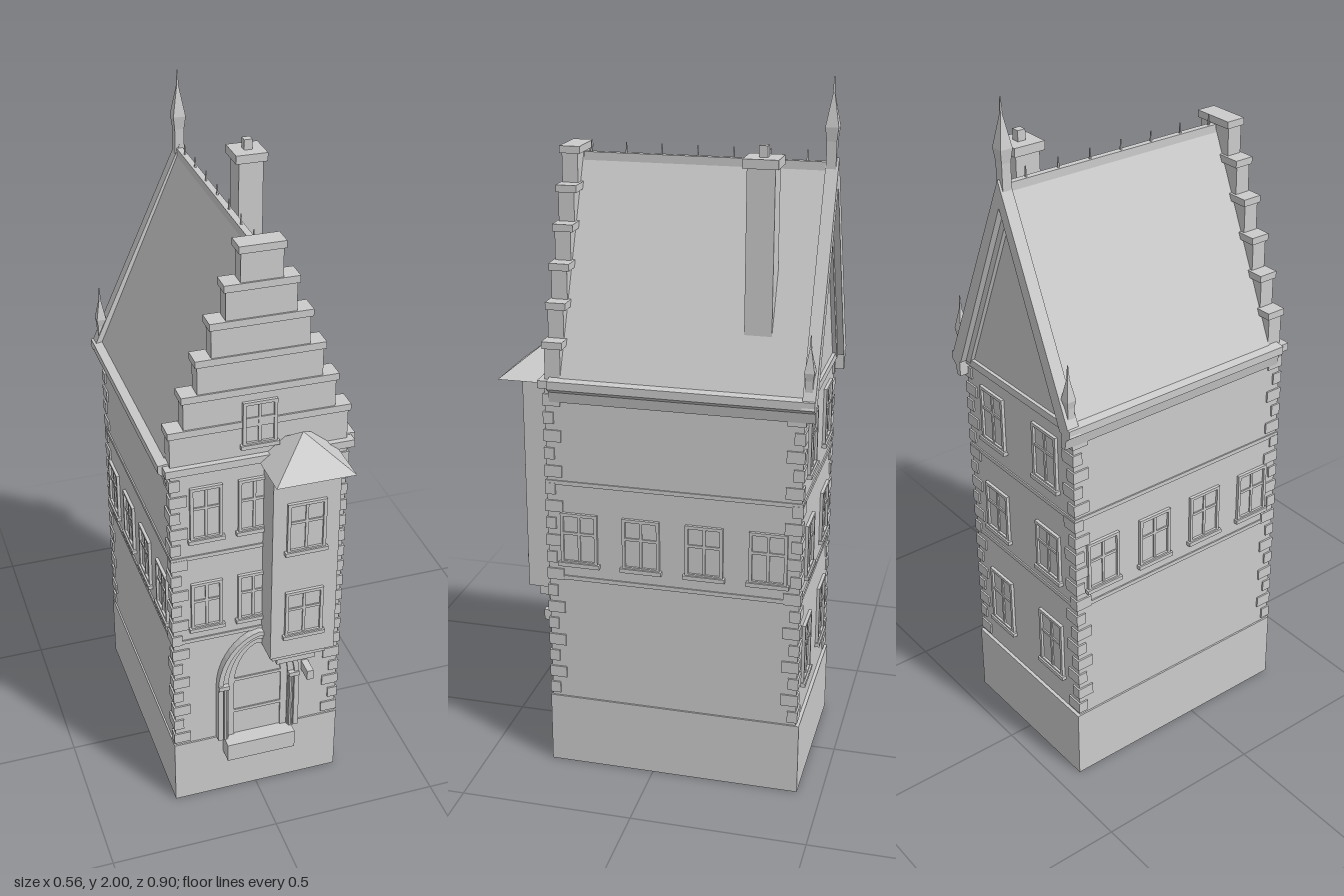
import * as THREE from 'three';

const mat = new THREE.MeshStandardMaterial({ color: 0xcccccc, flatShading: true });
const openMat = new THREE.MeshStandardMaterial({ color: 0xcccccc, flatShading: true, side: THREE.DoubleSide });

function add(parent, name, geometry, x = 0, y = 0, z = 0, material = mat) {
  const mesh = new THREE.Mesh(geometry, material);
  mesh.name = name;
  mesh.position.set(x, y, z);
  parent.add(mesh);
  return mesh;
}

// Box given by its limits on each axis
function box(parent, name, x0, x1, y0, y1, z0, z1) {
  return add(parent, name, new THREE.BoxGeometry(x1 - x0, y1 - y0, z1 - z0),
    (x0 + x1) / 2, (y0 + y1) / 2, (z0 + z1) / 2);
}

function extrude(parent, name, shape, z, depth) {
  return add(parent, name, new THREE.ExtrudeGeometry(shape, { depth, bevelEnabled: false, curveSegments: 10 }), 0, 0, z);
}

function polygon(points) {
  return new THREE.Shape(points.map(([x, y]) => new THREE.Vector2(x, y)));
}

// Four-sided pyramid, optionally cut off at the top
function pyramid(parent, name, half, h, x, y, z, topHalf = 0) {
  const g = new THREE.CylinderGeometry(topHalf * Math.SQRT2, half * Math.SQRT2, h, 4, 1);
  g.rotateY(Math.PI / 4);
  return add(parent, name, g, x, y + h / 2, z);
}

// Framed casement on a wall; turn rotates it to face outwards
function windowUnit(parent, x, y0, y1, z, turn, w = 0.1) {
  const g = new THREE.Group();
  g.name = 'window';
  const h = y1 - y0, a = w / 2, t = 0.009;
  const frame = polygon([[-a, 0], [a, 0], [a, h], [-a, h]]);
  frame.holes.push(polygon([[-a + t, t], [-a + t, h - t], [a - t, h - t], [a - t, t]]));
  extrude(g, 'windowFrame', frame, 0, 0.009);
  box(g, 'windowPane', -a + t, a - t, t, h - t, -0.005, 0.002);
  box(g, 'mullion', -0.004, 0.004, t, h - t, 0, 0.006);
  box(g, 'transom', -a + t, a - t, h * 0.6 - 0.004, h * 0.6 + 0.004, 0, 0.006);
  box(g, 'windowSill', -a - 0.006, a + 0.006, -0.008, 0.004, 0, 0.014);
  g.position.set(x, y0, z);
  g.rotation.y = turn;
  parent.add(g);
}

function pinnacle(parent, x, y, z, half, shaft, spire, spike) {
  const g = new THREE.Group();
  g.name = 'pinnacle';
  pyramid(g, 'pinnacleShaft', half * 0.75, shaft, 0, 0, 0, half * 0.75);
  pyramid(g, 'pinnacleCollar', half * 0.75, shaft * 0.25, 0, shaft * 0.75, 0, half);
  pyramid(g, 'pinnacleSpire', half, spire, 0, shaft, 0, 0.002);
  pyramid(g, 'pinnacleSpike', 0.003, spike, 0, shaft + spire, 0, 0.001);
  g.position.set(x, y, z);
  parent.add(g);
}

// Pointed door arch outline
function archPath(path, w, top) {
  const foot = 0.215, spring = 0.41, k = top - spring;
  path.moveTo(-w, foot);
  path.lineTo(w, foot);
  path.lineTo(w, spring);
  path.bezierCurveTo(w, spring + k * 0.55, w * 0.5, top - k * 0.06, 0, top);
  path.bezierCurveTo(-w * 0.5, top - k * 0.06, -w, spring + k * 0.55, -w, spring);
  path.lineTo(-w, foot);
  return path;
}

export function createModel() {
  const house = new THREE.Group();
  house.name = 'house';

  // Hollow plinth, open underneath
  const plinth = new THREE.BoxGeometry(0.51, 0.215, 0.74);
  const idx = Array.from(plinth.index.array);
  idx.splice(18, 6);
  plinth.setIndex(idx);
  plinth.clearGroups();
  add(house, 'plinth', plinth, 0, 0.1075, -0.06, openMat);
  box(house, 'doorStep', -0.105, 0.105, 0.155, 0.215, 0.29, 0.357);

  // Walls and string courses
  box(house, 'walls', -0.25, 0.25, 0.212, 1.19, -0.42, 0.305);
  for (const y of [0.595, 0.885]) box(house, 'stringCourse', -0.254, 0.254, y, y + 0.012, -0.424, 0.309);

  // Corner stones, alternately long and short
  for (const sx of [-1, 1]) for (const front of [true, false]) {
    const zc = front ? 0.305 : -0.42, dir = front ? 1 : -1;
    for (let i = 0; i < 18; i++) {
      const y = 0.225 + i * 0.0525, lx = i % 2 ? 0.025 : 0.045, lz = i % 2 ? 0.045 : 0.025;
      add(house, 'cornerStone', new THREE.BoxGeometry(lx + 0.005, 0.034, lz + 0.005),
        sx * (0.255 - (lx + 0.005) / 2), y + 0.017, zc + dir * (0.005 - (lz + 0.005) / 2));
    }
  }

  // Roof, ridge and ridge spikes
  extrude(house, 'roof', polygon([[-0.258, 1.185], [0.258, 1.185], [0, 1.775]]), -0.42, 0.68);
  box(house, 'ridge', -0.009, 0.009, 1.755, 1.778, -0.42, 0.255);
  for (let i = 0; i < 7; i++) pyramid(house, 'ridgeSpike', 0.0025, 0.03, 0, 1.777, 0.235 - i * 0.1, 0.001);

  // Eaves and cornices
  for (const s of [-1, 1]) {
    const eave = polygon([[0.24, 1.13], [0.256, 1.13], [0.262, 1.16], [0.278, 1.172], [0.278, 1.195], [0.24, 1.2]]
      .map(([x, y]) => [s * x, y]));
    extrude(house, 'eaves', eave, -0.45, 0.74);
  }
  box(house, 'frontCornice', -0.266, 0.266, 1.17, 1.192, 0.25, 0.32);
  box(house, 'backCornice', -0.25, 0.25, 1.165, 1.187, -0.43, -0.41);

  // Stepped front gable with capped steps
  for (let i = 0; i < 6; i++) {
    const top = 1.3 + i * 0.1, w = 0.249 - i * 0.0385;
    box(house, 'gableStep', -w, w, top - 0.115, top - 0.015, 0.258, 0.303);
    box(house, 'gableCap', -w - 0.006, w + 0.006, top - 0.02, top, 0.25, 0.308);
  }

  // Rear verge boards and pinnacles
  const verge = polygon([[-0.28, 1.175], [-0.235, 1.175], [0, 1.715], [0.235, 1.175], [0.28, 1.175], [0, 1.79]]);
  extrude(house, 'vergeBoard', verge, -0.45, 0.035);
  const innerVerge = polygon([[-0.245, 1.175], [-0.215, 1.175], [0, 1.67], [0.215, 1.175], [0.245, 1.175], [0, 1.74]]);
  extrude(house, 'vergeMoulding', innerVerge, -0.432, 0.017);
  pinnacle(house, 0, 1.72, -0.43, 0.018, 0.15, 0.09, 0.04);
  for (const s of [-1, 1]) pinnacle(house, s * 0.25, 1.185, -0.43, 0.014, 0.085, 0.065, 0.035);

  // Chimney
  box(house, 'chimneyStack', 0.118, 0.19, 1.33, 1.785, -0.315, -0.24);
  box(house, 'chimneyCap', 0.107, 0.2, 1.785, 1.81, -0.325, -0.23);
  box(house, 'chimneyPot', 0.142, 0.166, 1.81, 1.84, -0.29, -0.266);

  // Projecting bay on stepped corbels
  box(house, 'bay', 0.012, 0.205, 0.54, 1.172, 0.29, 0.385);
  pyramid(house, 'bayRoof', 0.112, 0.09, 0.108, 1.17, 0.34);
  box(house, 'bayCorbel', 0.028, 0.19, 0.507, 0.54, 0.29, 0.358);
  box(house, 'bayCorbel', 0.05, 0.168, 0.472, 0.507, 0.29, 0.337);
  box(house, 'wallLamp', 0.138, 0.158, 0.408, 0.44, 0.3, 0.358);

  // Doorway: stepped arch rings, jamb shafts, panelled door
  const rings = [[0.125, 0.6, 0.11, 0.585, 0.024], [0.11, 0.585, 0.092, 0.57, 0.016], [0.092, 0.57, 0.072, 0.55, 0.009]];
  for (const [w, top, iw, iTop, depth] of rings) {
    const ring = archPath(new THREE.Shape(), w, top);
    ring.holes.push(archPath(new THREE.Path(), iw, iTop));
    extrude(house, 'doorArch', ring, 0.304, depth);
  }
  extrude(house, 'door', archPath(new THREE.Shape(), 0.074, 0.552), 0.3, 0.008);
  for (const s of [-1, 1]) {
    add(house, 'jambShaft', new THREE.CylinderGeometry(0.007, 0.007, 0.2, 8), s * 0.101, 0.315, 0.322);
    box(house, 'jambCapital', s * 0.108 - 0.016, s * 0.108 + 0.016, 0.41, 0.424, 0.304, 0.333);
  }
  for (const y of [0.3, 0.42]) box(house, 'doorRail', -0.072, 0.072, y, y + 0.01, 0.305, 0.312);

  // Windows on the front, bay and gable
  for (const x of [-0.152, -0.015]) {
    windowUnit(house, x, 0.95, 1.12, 0.305, 0, 0.092);
    windowUnit(house, x, 0.645, 0.802, 0.305, 0, 0.092);
  }
  windowUnit(house, 0.108, 0.91, 1.07, 0.385, 0, 0.112);
  windowUnit(house, 0.108, 0.618, 0.772, 0.385, 0, 0.112);
  windowUnit(house, -0.002, 1.225, 1.357, 0.303, 0, 0.096);

  // Windows on the sides and back
  for (const s of [-1, 1]) {
    for (const z of [0.213, 0.032, -0.15, -0.331]) windowUnit(house, s * 0.25, 0.648, 0.802, z, s * Math.PI / 2, 0.108);
    for (const [y0, y1] of [[0.312, 0.495], [0.648, 0.802], [0.952, 1.12]]) {
      windowUnit(house, s * 0.125, y0, y1, -0.42, Math.PI, 0.11);
    }
  }
  return house;
}
